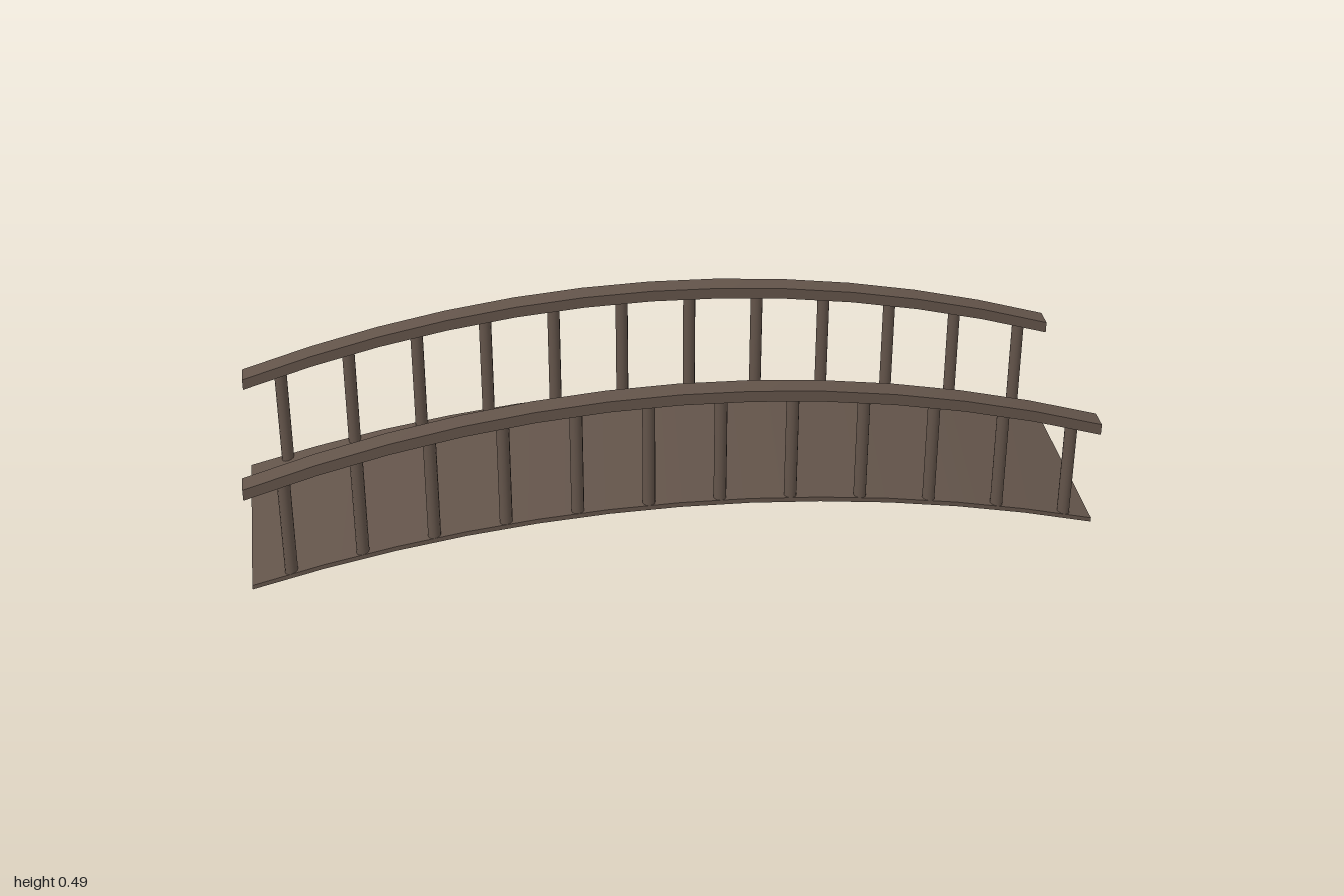
import * as THREE from 'three';

const SEGMENTS = 12;
const wood = new THREE.MeshStandardMaterial({ color: 0x63544a });

// Height of a shallow arch at x, from its crown and its ends at x = -1 and 1
const arch = (crown, end) => (x) => crown - (crown - end) * x * x;

const deckTop = arch(0.185, 0.048);
const deckBottom = arch(0.173, 0.037);
const beamBottom = arch(0.145, 0);
const railTop = arch(0.485, 0.318);
const railBottom = arch(0.457, 0.29);

// Box spanning the bridge, bent between a lower and an upper arch
function archedBar(name, bottom, top, width, z) {
  const geometry = new THREE.BoxGeometry(2, 1, width, SEGMENTS, 1, 1);
  const p = geometry.attributes.position;
  for (let i = 0; i < p.count; i++) {
    const x = p.getX(i);
    p.setY(i, p.getY(i) > 0 ? top(x) : bottom(x));
  }
  geometry.computeVertexNormals();
  const mesh = new THREE.Mesh(geometry, wood);
  mesh.name = name;
  mesh.position.z = z;
  return mesh;
}

// Upright from the deck into the underside of the rail
function post(name, x, z) {
  const y0 = deckTop(x) - 0.006;
  const y1 = railBottom(x) + 0.01;
  const mesh = new THREE.Mesh(new THREE.CylinderGeometry(0.015, 0.015, y1 - y0, 12), wood);
  mesh.name = name;
  mesh.position.set(x, (y0 + y1) / 2, z);
  return mesh;
}

export function createModel() {
  const bridge = new THREE.Group();
  bridge.name = 'archedFootbridge';

  // Walkway
  bridge.add(archedBar('deck', deckBottom, deckTop, 0.52, 0));

  // Beam, handrail and posts on each side
  for (const [side, s] of [['front', 1], ['back', -1]]) {
    bridge.add(archedBar(side + 'Beam', beamBottom, deckBottom, 0.04, 0.18 * s));
    bridge.add(archedBar(side + 'Handrail', railBottom, railTop, 0.05, 0.245 * s));
    const posts = new THREE.Group();
    posts.name = side + 'Posts';
    for (let i = 0; i < 12; i++) {
      posts.add(post(side + 'Post' + (i + 1), -0.908 + i * 0.1674, 0.245 * s));
    }
    bridge.add(posts);
  }
  return bridge;
}
